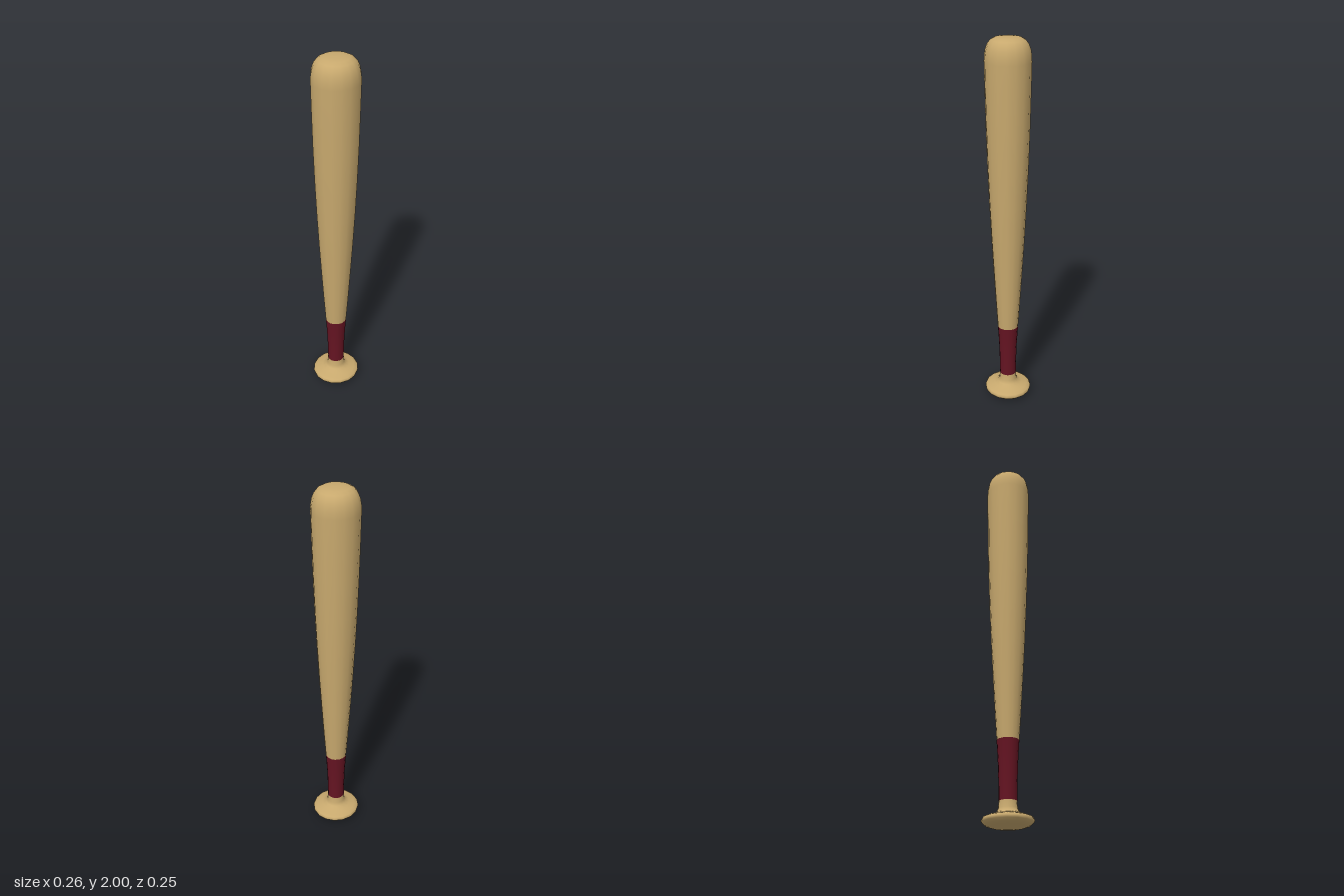
import * as THREE from 'three';

const SIDES = 16;
const wood = new THREE.MeshStandardMaterial({ color: 0xc8a96e });
const wrap = new THREE.MeshStandardMaterial({ color: 0x651422 });

// Turned part from [radius, height] pairs, listed bottom to top
function turned(name, profile, material) {
  const points = profile.map(([r, y]) => new THREE.Vector2(r, y));
  const geometry = new THREE.LatheGeometry(points, SIDES);
  const mesh = new THREE.Mesh(geometry, material);
  mesh.name = name;
  return mesh;
}

export function createModel() {
  const bat = new THREE.Group();
  bat.name = 'baseballBat';

  // Flared knob with a shallow domed underside and a short neck
  bat.add(turned('knob', [
    [0, 0.003], [0.05, 0.004], [0.09, 0.009], [0.115, 0.017], [0.129, 0.029],
    [0.132, 0.04], [0.126, 0.05], [0.108, 0.058], [0.078, 0.066],
    [0.058, 0.077], [0.049, 0.095], [0.046, 0.13],
  ], wood));

  // Dark wrapped grip
  bat.add(turned('grip', [
    [0.046, 0.13], [0.047, 0.2], [0.05, 0.3], [0.054, 0.37], [0.058, 0.43],
  ], wrap));

  // Tapered barrel with a rounded, flat-topped end
  bat.add(turned('barrel', [
    [0.058, 0.43], [0.068, 0.58], [0.079, 0.76], [0.09, 0.95], [0.1, 1.15],
    [0.108, 1.35], [0.114, 1.55], [0.118, 1.75], [0.12, 1.88], [0.119, 1.91],
    [0.114, 1.94], [0.104, 1.965], [0.089, 1.984], [0.068, 1.995],
    [0.035, 1.999], [0, 2],
  ], wood));

  // Slightly oval cross-section
  bat.scale.z = 0.965;
  return bat;
}
